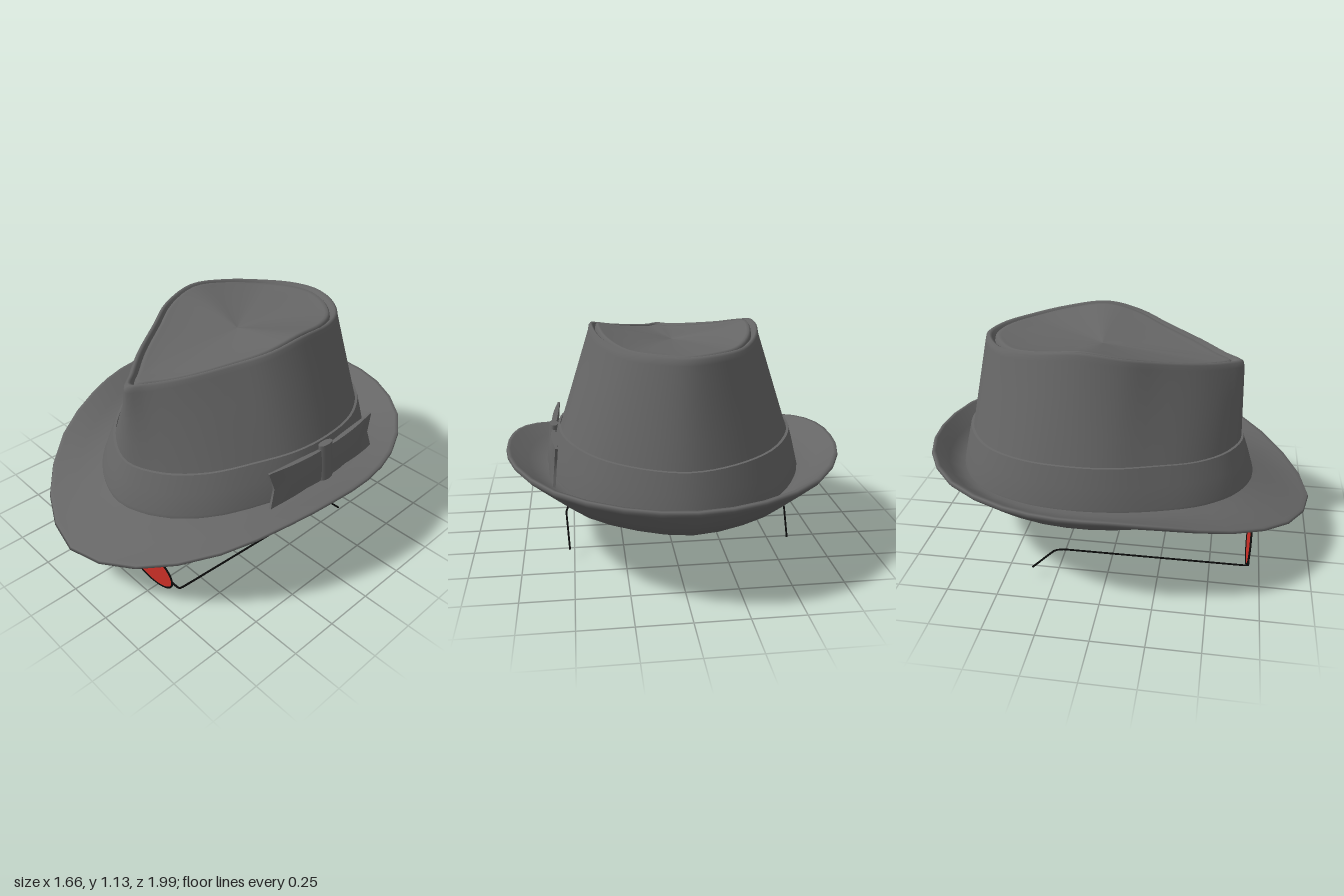
import * as THREE from 'three';

const CX = -0.015; // the hat's own mid-plane
const felt = new THREE.MeshStandardMaterial({ color: 0x666666, side: THREE.DoubleSide });
const black = new THREE.MeshStandardMaterial({ color: 0x0a0a0a });
const red = new THREE.MeshStandardMaterial({ color: 0xd03028, side: THREE.DoubleSide });

// Half outlines from front to back: [half width, y, z]
const EDGE = [[0, .25, .99], [.355, .30, .87], [.63, .40, .60], [.765, .48, .30], [.82, .515, .06],
  [.83, .52, -.17], [.775, .52, -.43], [.59, .515, -.74], [.30, .51, -.94], [0, .505, -1]];
const BASE = [[0, .39, .69], [.23, .40, .62], [.41, .415, .46], [.53, .435, .25], [.60, .45, .05],
  [.62, .455, -.17], [.58, .45, -.40], [.44, .43, -.64], [.23, .41, -.79], [0, .40, -.85]];
const BAND_TOP = [[0, .58, .63], [.19, .585, .565], [.35, .60, .42], [.47, .625, .22], [.55, .64, .03],
  [.57, .645, -.17], [.53, .64, -.40], [.40, .625, -.61], [.20, .615, -.75], [0, .61, -.80]];
const LIP = [[0, 1.0, .60], [.065, 1.005, .53], [.17, 1.03, .40], [.285, 1.07, .21], [.375, 1.11, .05],
  [.405, 1.14, -.14], [.37, 1.115, -.36], [.27, 1.09, -.545], [.135, 1.087, -.65], [0, 1.085, -.69]];

// Scale an outline about the crown's middle and shift its height
const fit = (ring, s, dy = 0) => ring.map(([x, y, z]) => [x * s, y + dy, (z + .1) * s - .1]);
// Blend two outlines
const mix = (a, b, t, dy = 0) => a.map((p, i) => p.map((v, k) => v + (b[i][k] - v) * t + (k === 1 ? dy : 0)));
// Shrink an outline toward a centre point at the given height
const shrink = (ring, t, cy) => mix(ring, ring.map(() => [0, cy, -.1]), t);

// Mirror each half outline, smooth it and skin the rings together
function loft(rings, n) {
  const pos = [], idx = [];
  rings.forEach((half) => {
    const right = half.map(([x, y, z]) => new THREE.Vector3(CX + x, y, z));
    const left = half.slice(1, -1).reverse().map(([x, y, z]) => new THREE.Vector3(CX - x, y, z));
    const curve = new THREE.CatmullRomCurve3([...right, ...left], true);
    for (let i = 0; i < n; i++) pos.push(...curve.getPoint(i / n).toArray());
  });
  for (let j = 0; j < rings.length - 1; j++) {
    for (let i = 0; i < n; i++) {
      const a = j * n + i, b = j * n + (i + 1) % n;
      idx.push(a, b, b + n, a, b + n, a + n);
    }
  }
  const g = new THREE.BufferGeometry();
  g.setAttribute('position', new THREE.Float32BufferAttribute(pos, 3));
  g.setIndex(idx);
  g.computeVertexNormals();
  return g;
}

function part(name, geometry, material, parent) {
  const m = new THREE.Mesh(geometry, material);
  m.name = name;
  parent.add(m);
  return m;
}

function wire(points, tension = .5, closed = false) {
  const curve = new THREE.CatmullRomCurve3(points.map((p) => new THREE.Vector3(...p)), closed, 'catmullrom', tension);
  return new THREE.TubeGeometry(curve, 64, .005, 6, closed);
}

function makeHat() {
  const hat = new THREE.Group();
  hat.name = 'hat';

  // Brim: closed underside, rolled edge, then the dished top
  const under = BASE.map(([x, , z]) => [x, .325 - .02 * z + .03 * x, z]);
  part('brim', loft([
    shrink(under, 1, .327), shrink(under, .5, .327), under, mix(under, EDGE, .5, -.004),
    mix(under, EDGE, .93, -.006), EDGE, fit(EDGE, .995, .014), fit(EDGE, .975, .012),
    mix(EDGE, BASE, .5, -.012), mix(EDGE, BASE, .85, -.02), fit(BASE, .97, -.01),
  ], 36), felt, hat);

  // Hat band, with a thin step on top
  part('hatBand', loft([fit(BASE, 1, -.03), BASE, mix(BASE, BAND_TOP, .5, .005), BAND_TOP], 72), felt, hat);
  part('hatBandTop', loft([BAND_TOP, fit(BAND_TOP, .98, .001)], 72), felt, hat);

  // Crown wall with rounded lip and groove
  const wall = fit(BAND_TOP, .985, -.02), shoulder = fit(LIP, 1.01, -.035);
  part('crown', loft([
    wall, mix(wall, shoulder, .33), mix(wall, shoulder, .67), shoulder, fit(LIP, 1, -.01),
    fit(LIP, .975), fit(LIP, .95, -.008), fit(LIP, .925, -.035),
  ], 72), felt, hat);

  // Sunken top panel
  const rim = fit(LIP, .9, -.004);
  part('crownTop', loft([
    fit(LIP, .93, -.04), fit(LIP, .92, -.015), rim, fit(LIP, .87, -.008),
    shrink(rim, .2, 1.02), shrink(rim, .45, 1.035), shrink(rim, .75, 1.045), shrink(rim, 1, 1.045),
  ], 72), felt, hat);

  // Side bow: two flaring wings and a knot
  const bow = new THREE.Group();
  bow.name = 'bow';
  bow.position.set(.588, .54, -.125);
  bow.rotation.z = .1;
  for (const s of [1, -1]) {
    const g = new THREE.BoxGeometry(1, 1, 1, 1, 4, 10);
    const p = g.attributes.position;
    for (let i = 0; i < p.count; i++) {
      const u = p.getZ(i) + .5, v = p.getY(i);
      const t = s > 0 ? u : 1 - u; // 0 at the knot, 1 at the tip
      const thick = .012 + .028 * Math.sin(Math.PI * Math.min(1, t * 1.1)) * (1 - 2 * v * v);
      const notch = .03 * t * t * (1 - Math.abs(2 * v));
      p.setXYZ(i, p.getX(i) * thick - .02 * t * t, v * (.15 + .045 * t), s * (t * .375 - notch));
    }
    g.computeVertexNormals();
    part(s > 0 ? 'bowFrontWing' : 'bowBackWing', g, felt, bow);
  }
  const knot = new THREE.CylinderGeometry(.035, .035, .2, 16);
  knot.scale(.6, 1, 1.3);
  part('bowKnot', knot, felt, bow);
  hat.add(bow);
  return hat;
}

function makeGlasses() {
  const glasses = new THREE.Group();
  glasses.name = 'glasses';
  glasses.position.x = -.028;
  const Y = .115, Z = .692;

  for (const s of [1, -1]) {
    const side = s > 0 ? 'left' : 'right';
    // Oval lens and its wire rim, leaning slightly
    const eye = new THREE.Group();
    eye.name = side + 'Eye';
    eye.position.set(s * .234, Y, Z);
    eye.rotation.x = .07;
    const lens = new THREE.CircleGeometry(1, 48);
    lens.scale(.168, .105, 1);
    part(side + 'Lens', lens, red, eye);
    const oval = Array.from({ length: 24 }, (_, i) => {
      const a = i / 24 * Math.PI * 2;
      return [.168 * Math.cos(a), .105 * Math.sin(a), 0];
    });
    part(side + 'Rim', wire(oval, .5, true), black, eye);
    glasses.add(eye);

    // Hinge, temple arm and ear hook
    part(side + 'Arm', wire([
      [s * .402, Y, Z], [s * .445, Y, Z], [s * .46, Y + .002, Z - .02], [s * .51, .152, .24],
      [s * .561, .188, -.19], [s * .562, .186, -.215], [s * .56, .172, -.25], [s * .549, .055, -.365],
    ], .2), black, glasses);
  }
  // Bridge
  part('bridge', wire([[-.066, Y, Z], [-.035, Y + .007, Z], [0, Y + .009, Z], [.035, Y + .007, Z], [.066, Y, Z]]), black, glasses);
  return glasses;
}

export function createModel() {
  const model = new THREE.Group();
  model.name = 'hatAndGlasses';
  model.add(makeHat(), makeGlasses());
  return model;
}
